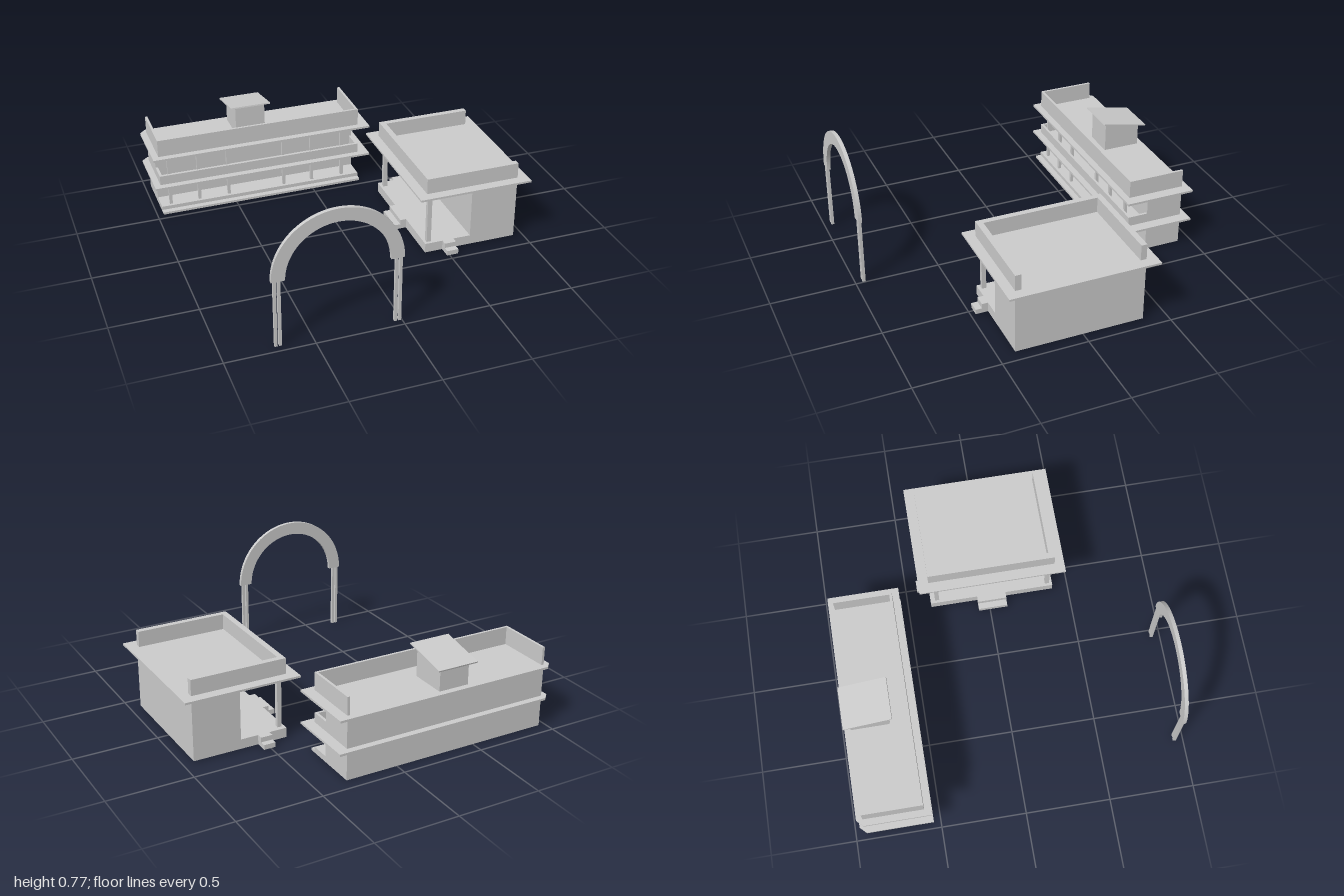
import * as THREE from 'three';

const grey = new THREE.MeshStandardMaterial({ color: 0xcccccc });
const sheet = new THREE.MeshStandardMaterial({ color: 0xcccccc, side: THREE.DoubleSide });

// Box given by its limits on each axis
function box(parent, name, [x0, x1], [y0, y1], [z0, z1]) {
  const mesh = new THREE.Mesh(new THREE.BoxGeometry(x1 - x0, y1 - y0, z1 - z0), grey);
  mesh.position.set((x0 + x1) / 2, (y0 + y1) / 2, (z0 + z1) / 2);
  mesh.name = name;
  parent.add(mesh);
  return mesh;
}

// Hollow box without its bottom face (the fourth of the six sides)
function shell(parent, name, x, y, z) {
  const mesh = box(parent, name, x, y, z);
  const index = Array.from(mesh.geometry.index.array);
  index.splice(18, 6);
  mesh.geometry.setIndex(index);
  mesh.geometry.clearGroups();
  mesh.material = sheet;
}

// Slim upright post with a rectangular section
function post(parent, name, x, z, y0, y1, w, d = w) {
  box(parent, name, [x - w / 2, x + w / 2], [y0, y1], [z - d / 2, z + d / 2]);
}

// Extruded outline
function extrude(parent, name, points, depth) {
  const shape = new THREE.Shape(points.map(([x, y]) => new THREE.Vector2(x, y)));
  const mesh = new THREE.Mesh(new THREE.ExtrudeGeometry(shape, { depth, bevelEnabled: false }), grey);
  mesh.name = name;
  parent.add(mesh);
  return mesh;
}

function createLongBuilding() {
  const g = new THREE.Group();
  g.name = 'longBuilding';
  const X = [-0.962, 0.314], back = -0.923, wall = -0.7, front = -0.578, t = 0.015;

  // Hollow body with a two-stage plinth along the front
  shell(g, 'mainBody', X, [0, 0.383], [back, wall]);
  shell(g, 'groundPlinth', X, [0, 0.036], [wall, front]);
  shell(g, 'groundStep', X, [0, 0.014], [front, -0.543]);

  // Floor and roof slabs with one clipped back corner
  for (const [name, y] of [['floorSlab', 0.176], ['roofSlab', 0.37]]) {
    const slab = extrude(g, name, [
      [-1, 0.538], [0.378, 0.538], [0.378, 0.96], [-0.963, 0.96], [-1, 0.923],
    ], 0.013);
    slab.rotation.x = -Math.PI / 2;
    slab.position.y = y;
  }

  // Balcony wall on the floor slab and parapet on the roof, both open at the back
  for (const [name, y0, y1, zEnd] of [['balconyWall', 0.189, 0.247, wall], ['parapet', 0.383, 0.49, back]]) {
    box(g, name + 'Front', X, [y0, y1], [front - t, front]);
    box(g, name + 'Right', [X[0], X[0] + t], [y0, y1], [zEnd, front - t]);
    box(g, name + 'Left', [X[1] - t, X[1]], [y0, y1], [zEnd, front - t]);
  }

  // Gallery columns on both storeys
  for (const x of [-0.9, -0.718, -0.531, -0.173, 0.012, 0.212]) {
    post(g, 'lowerColumn', x, -0.606, 0, 0.176, 0.018);
    post(g, 'upperColumn', x, -0.606, 0.189, 0.37, 0.018);
  }

  // Roof hut with sloping top, outlined as (-z, y)
  const hut = extrude(g, 'roofHut', [[0.7, 0.383], [0.923, 0.383], [0.923, 0.526], [0.7, 0.571]], 0.185);
  hut.rotation.y = Math.PI / 2;
  hut.position.x = -0.443;
  const lid = extrude(g, 'hutRoof', [[0.675, 0.573], [0.955, 0.517], [0.957, 0.525], [0.677, 0.581]], 0.25);
  lid.rotation.y = Math.PI / 2;
  lid.position.x = -0.476;
  return g;
}

function createPavilion() {
  const g = new THREE.Group();
  g.name = 'pavilion';
  const Z = [-0.358, 0.402], y0 = 0.009, t = 0.035;

  box(g, 'room', [0.653, 0.938], [y0, 0.389], Z);
  box(g, 'porchFloor', [0.37, 0.653], [y0, 0.067], Z);
  box(g, 'roofSlab', [0.31, 1], [0.389, 0.401], [-0.419, 0.46]);

  // Parapet, open on the left side
  const py = [0.401, 0.495];
  box(g, 'parapetRight', [0.37, 0.37 + t], py, Z);
  box(g, 'parapetFront', [0.37 + t, 0.938], py, [Z[1] - t, Z[1]]);
  box(g, 'parapetBack', [0.37 + t, 0.938], py, [Z[0], Z[0] + t]);

  // Two hollow steps on each open side of the porch
  [[0.067, 0.036], [0.038, 0.073]].forEach(([top, out], i) => {
    const inner = i * 0.036, y = [y0, top];
    shell(g, 'sideStep', [0.37 - out, 0.37 - inner], y, [-0.07, 0.107]);
    shell(g, 'frontStep', [0.478, 0.548], y, [Z[1] + inner, Z[1] + out]);
    shell(g, 'backStep', [0.478, 0.548], y, [Z[0] - out, Z[0] - inner]);
  });

  // Porch columns
  for (const z of [-0.317, 0.371]) post(g, 'porchColumn', 0.399, z, 0.067, 0.389, 0.026);
  return g;
}

function createArchway() {
  const g = new THREE.Group();
  g.name = 'archway';
  const cx = -0.359, z = 0.949, y = 0.402, R = 0.365, r = 0.289;

  // Half ring
  const shape = new THREE.Shape();
  shape.absarc(0, 0, R, 0, Math.PI, false);
  shape.absarc(0, 0, r, Math.PI, 0, true);
  const geo = new THREE.ExtrudeGeometry(shape, { depth: 0.022, bevelEnabled: false, curveSegments: 32 });
  const arch = new THREE.Mesh(geo, grey);
  arch.name = 'arch';
  arch.position.set(cx, y, z - 0.011);
  g.add(arch);

  // Paired posts under each end
  for (const side of [-1, 1])
    for (const d of [-0.012, 0.012]) post(g, 'archPost', cx + side * 0.334 + d, z, 0, y, 0.016, 0.018);
  return g;
}

export function createModel() {
  const model = new THREE.Group();
  model.name = 'buildingGroup';
  model.add(createLongBuilding(), createPavilion(), createArchway());
  return model;
}
